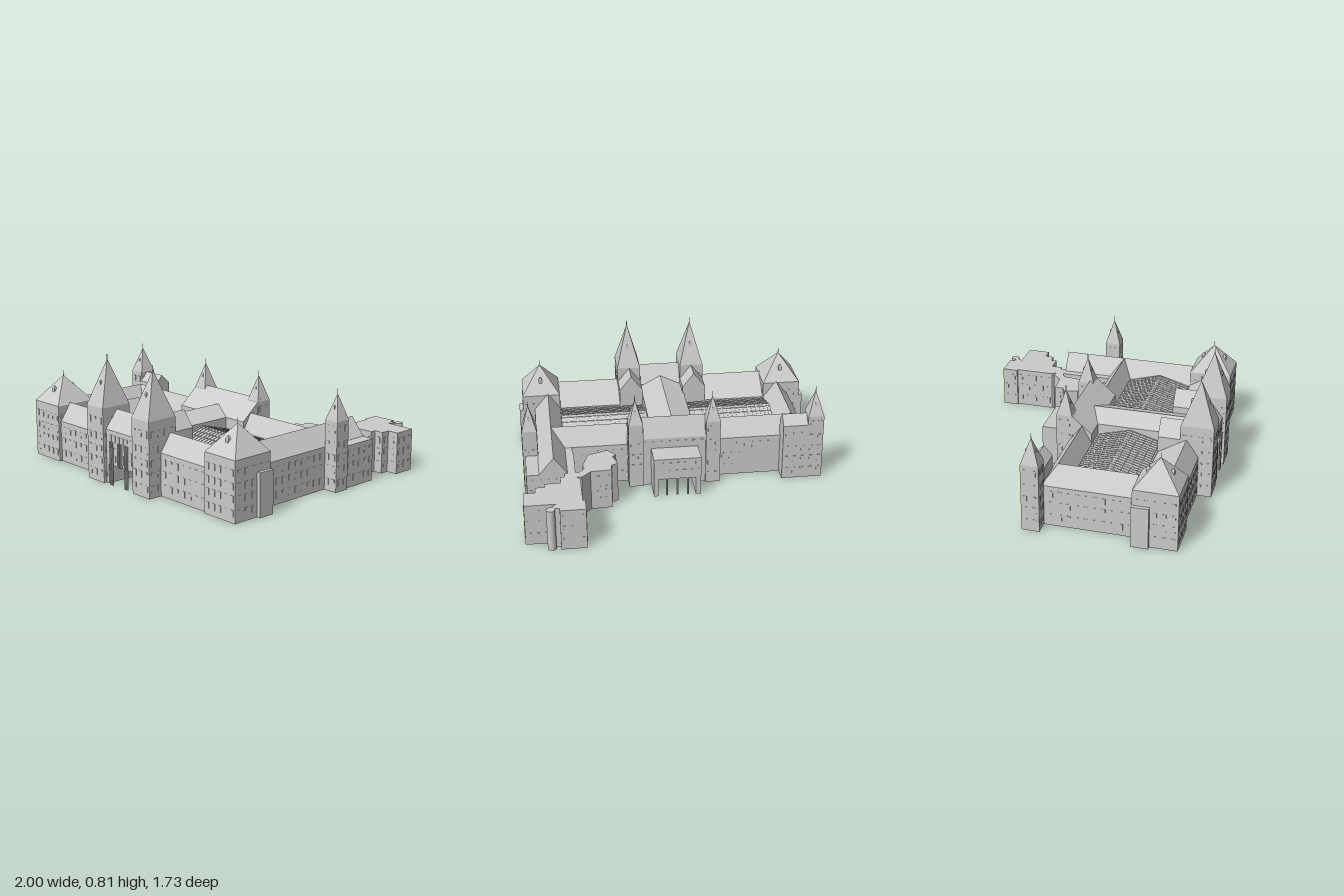
import * as THREE from 'three';
import { mergeGeometries } from 'three/addons/utils/BufferGeometryUtils.js';

const mat = new THREE.MeshStandardMaterial({ color: 0xcccccc, flatShading: true });
const roofMat = new THREE.MeshStandardMaterial({ color: 0xcccccc, flatShading: true, side: THREE.DoubleSide });

export function createModel() {
  const group = new THREE.Group();

  const add = (name, geo, m = mat) => {
    const mesh = new THREE.Mesh(geo, m);
    mesh.name = name;
    group.add(mesh);
    return mesh;
  };
  const boxGeo = (x0, x1, y0, y1, z0, z1) =>
    new THREE.BoxGeometry(x1 - x0, y1 - y0, z1 - z0).translate((x0 + x1) / 2, (y0 + y1) / 2, (z0 + z1) / 2);
  const block = (name, x0, x1, z0, z1, h, y0 = 0) => add(name, boxGeo(x0, x1, y0, h, z0, z1));

  // Roof over a rectangle, rising to a ridge from a to b (each [x, z]); a = b makes a pyramid
  const roof = (name, x0, x1, z0, z1, eave, top, a, b = a) => {
    const c = [[x0, z0], [x1, z0], [x1, z1], [x0, z1]].map(([x, z]) => [x, eave, z]);
    const A = [a[0], top, a[1]], B = [b[0], top, b[1]];
    const alongX = a[0] !== b[0];
    const faces = alongX
      ? [[c[3], c[2], B], [c[3], B, A], [c[1], c[0], A], [c[1], A, B], [c[0], c[3], A], [c[2], c[1], B]]
      : [[c[0], c[3], B], [c[2], c[1], A], [c[3], c[2], B], [c[1], c[0], A]];
    if (!alongX && a[1] !== b[1]) faces.push([c[0], B, A], [c[2], A, B]);
    const geo = new THREE.BufferGeometry();
    geo.setAttribute('position', new THREE.Float32BufferAttribute(faces.flat(2), 3));
    geo.computeVertexNormals();
    return add(name, geo, roofMat);
  };

  // Rows of thin window panels along a wall line
  const panes = [];
  const windows = (x0, z0, x1, z1, rows = [0.06, 0.145, 0.22], step = 0.055) => {
    const len = Math.hypot(x1 - x0, z1 - z0), n = Math.max(1, Math.round(len / step));
    const angle = -Math.atan2(z1 - z0, x1 - x0);
    for (let i = 0; i < n; i++) {
      const t = (i + 0.5) / n;
      for (const y of rows) {
        panes.push(new THREE.BoxGeometry(0.022, 0.042, 0.005).rotateY(angle)
          .translate(x0 + (x1 - x0) * t, y, z0 + (z1 - z0) * t));
      }
    }
  };

  // Square tower with spire, finial and small dormers
  const tower = (name, x0, x1, z0, z1, eave, top, dormerY, dormerSize) => {
    const cx = (x0 + x1) / 2, cz = (z0 + z1) / 2;
    block(name, x0, x1, z0, z1, eave);
    roof(name + 'Roof', x0, x1, z0, z1, eave, top, [cx, cz]);
    add(name + 'Finial', new THREE.CylinderGeometry(0.002, 0.003, 0.05, 6).translate(cx, top + 0.005, cz));
    const k = (top - dormerY) / (top - eave), s = dormerSize;
    for (const side of [-1, 1]) {
      const z = cz + side * k * (z1 - z0) / 2;
      add(name + 'Dormer', boxGeo(cx - s / 2, cx + s / 2, dormerY - s, dormerY + s / 2, z - s / 2, z + s / 2));
      roof(name + 'DormerRoof', cx - s / 2, cx + s / 2, z - s / 2, z + s / 2, dormerY + s / 2, dormerY + s * 1.4, [cx, z]);
    }
    const rows = [0.06, 0.145, 0.22, 0.3];
    if (eave > 0.4) rows.push(0.4);
    for (const z of [z0, z1]) windows(x0, z, x1, z, rows);
    for (const x of [x0, x1]) windows(x, z0, x, z1, rows);
  };

  // Block pierced from front to back by the passage
  const passageBlock = (name, x0, x1, z0, z1, h) => {
    const shape = new THREE.Shape([[x0, 0], [-0.12, 0], [-0.12, 0.125], [0.125, 0.125], [0.125, 0], [x1, 0], [x1, h], [x0, h]]
      .map(p => new THREE.Vector2(...p)));
    add(name, new THREE.ExtrudeGeometry(shape, { depth: z1 - z0, bevelEnabled: false }).translate(0, 0, z0));
  };

  // Central wing with its roofs
  passageBlock('centralWing', -0.15, 0.14, -0.155, 0.65, 0.34);
  passageBlock('entranceBlock', -0.15, 0.14, 0.65, 0.835, 0.35);
  roof('centralRoof', -0.15, 0.14, 0, 0.72, 0.34, 0.395, [-0.005, 0], [-0.005, 0.72]);
  roof('entranceRoof', -0.15, 0.14, 0.65, 0.835, 0.35, 0.465, [-0.15, 0.745], [0.14, 0.745]);
  windows(-0.12, 0.835, 0.12, 0.835, [0.17, 0.22, 0.3], 0.04);

  // Entrance columns and the strips between the tall windows
  for (const x of [-0.08, 0.065]) {
    for (const d of [-0.009, 0.009]) {
      add('entranceColumn', new THREE.CylinderGeometry(0.007, 0.007, 0.28, 8).translate(x + d, 0.14, 0.845));
    }
  }
  for (const x of [-0.012, 0.012]) add('entranceMullion', boxGeo(x - 0.005, x + 0.005, 0.125, 0.28, 0.835, 0.85));
  for (const s of [-1, 1]) {
    add('entranceBrace', new THREE.TorusGeometry(0.04, 0.004, 5, 8, Math.PI / 2)
      .rotateZ(s > 0 ? 0 : Math.PI / 2).translate(s * 0.08, 0.08, 0.825));
  }

  // Rear centre and porch
  block('rearCentreRight', -0.3, -0.15, -0.155, 0.065, 0.34);
  block('rearCentreLeft', 0.14, 0.3, -0.155, 0.065, 0.34);
  roof('rearCentreRoof', -0.3, 0.3, -0.155, 0.065, 0.34, 0.47, [-0.3, -0.09], [0.3, -0.09]);
  passageBlock('rearPorch', -0.155, 0.155, -0.315, -0.155, 0.27);
  for (const x of [-0.07, 0, 0.07]) {
    add('porchColumn', new THREE.CylinderGeometry(0.007, 0.007, 0.13, 8).translate(x, 0.065, -0.305));
  }
  windows(-0.15, -0.315, 0.15, -0.315, [0.17, 0.225], 0.045);
  windows(-0.21, -0.155, 0.21, -0.155, [0.3], 0.05);

  // Front range, pavilions, towers, courts: repeated on both sides
  for (const s of [-1, 1]) {
    const span = (a, b) => (s > 0 ? [a, b] : [-b, -a]);
    block('frontWing', ...span(0.14, 0.72), 0.5, 0.765, 0.275);
    roof('frontWingRoof', ...span(0.22, 0.8), 0.5, 0.765, 0.275, 0.39, [span(0.22, 0.8)[0], 0.685], [span(0.22, 0.8)[1], 0.685]);
    windows(s * 0.31, 0.765, s * 0.71, 0.765);

    block('rearWing', ...span(0.14, 0.81), -0.085, 0.065, 0.275);
    windows(s * 0.31, -0.085, s * 0.67, -0.085);
    block('sideWing', ...span(0.72, 0.895), -0.085, 0.5, 0.275);
    windows(s * 0.895, -0.05, s * 0.895, 0.5);

    tower('cornerPavilion', ...span(0.718, 0.975), 0.5, 0.785, 0.378, 0.55, 0.46, 0.022);
    block('pavilionBay', ...span(0.97, 1.0), 0.5, 0.61, 0.275);
    tower('frontTower', ...span(0.142, 0.303), 0.645, 0.858, 0.485, 0.775, 0.63, 0.014);
    tower('rearTower', ...span(0.207, 0.303), -0.17, -0.065, 0.45, 0.615, 0.53, 0.012);

    // Gabled house behind each front tower
    block('stairHouse', ...span(0.142, 0.3), 0.5, 0.65, 0.385);
    roof('stairHouseRoof', ...span(0.142, 0.3), 0.5, 0.65, 0.385, 0.485, [s * 0.22, 0.5], [s * 0.22, 0.65]);

    // Glazed court roof, open beneath, with ribs
    const [c0, c1] = span(0.14, 0.72);
    roof('courtRoof', c0, c1, 0.065, 0.5, 0.265, 0.325, [c0, 0.283], [c1, 0.283]);
    const slope = Math.atan2(0.06, 0.217), ribs = [];
    for (let i = 0; i < 20; i++) {
      const x = s * (0.16 + i * 0.0285), w = i % 5 === 4 ? 0.007 : 0.003;
      for (const f of [-1, 1]) {
        ribs.push(new THREE.BoxGeometry(w, 0.004, 0.22).rotateX(f * slope).translate(x, 0.296, 0.283 + f * 0.109));
      }
    }
    for (let i = 0; i < 5; i++) {
      for (const f of [-1, 1]) {
        const z = 0.02 + i * 0.045;
        ribs.push(new THREE.BoxGeometry(0.57, 0.004, 0.003).translate(s * 0.43, 0.326 - z * 0.276, 0.283 + f * z));
      }
    }
    add('courtRoofRibs', mergeGeometries(ribs));
  }

  // Rear and side roofs
  roof('rearWingRoof', -0.9, 0.895, -0.085, 0.065, 0.275, 0.39, [-0.81, 0], [0.8, 0]);
  roof('rightWingRoof', -0.9, -0.72, -0.085, 0.5, 0.275, 0.39, [-0.81, 0], [-0.81, 0.5]);
  roof('leftWingRoof', 0.715, 0.895, -0.42, 0.5, 0.275, 0.39, [0.8, -0.42], [0.8, 0.5]);

  // Long left rear range and its tower
  block('leftRearRange', 0.665, 0.975, -0.42, -0.165, 0.275);
  block('leftRearLink', 0.67, 0.895, -0.17, -0.08, 0.275);
  windows(0.975, -0.42, 0.975, -0.17);
  windows(0.665, -0.42, 0.665, -0.09);
  windows(0.77, -0.42, 0.97, -0.42);
  tower('leftRearTower', 0.893, 0.99, -0.165, -0.06, 0.45, 0.615, 0.53, 0.012);

  // Right rear house and its tower
  block('rightRearHouse', -0.885, -0.72, -0.185, -0.065, 0.39);
  roof('rightRearHouseRoof', -0.885, -0.72, -0.185, -0.065, 0.39, 0.45, [-0.885, -0.12], [-0.72, -0.12]);
  windows(-0.88, -0.185, -0.72, -0.185, [0.06, 0.145, 0.22, 0.32]);
  tower('rightRearTower', -0.99, -0.885, -0.185, -0.07, 0.45, 0.615, 0.53, 0.012);

  // Flat-roofed annexes from footprints of [x, z]
  const annex = (name, pts, glazed = true) => {
    const shape = new THREE.Shape(pts.map(([x, z]) => new THREE.Vector2(x, -z)));
    add(name, new THREE.ExtrudeGeometry(shape, { depth: 0.275, bevelEnabled: false }).rotateX(-Math.PI / 2));
    if (glazed) pts.forEach((p, i) => {
      const q = pts[(i + 1) % pts.length];
      if (Math.hypot(p[0] - q[0], p[1] - q[1]) > 0.055) windows(...p, ...q);
    });
  };
  annex('largeAnnex', [[0.625, -0.865], [0.785, -0.865], [0.785, -0.785], [1, -0.785], [1, -0.635], [0.925, -0.635],
    [0.925, -0.575], [0.865, -0.575], [0.865, -0.535], [0.765, -0.535], [0.765, -0.46], [0.735, -0.46], [0.735, -0.415],
    [0.665, -0.415], [0.665, -0.47], [0.64, -0.5], [0.64, -0.76], [0.625, -0.76]]);
  annex('smallAnnex', [[0.435, -0.41], [0.6, -0.42], [0.615, -0.33], [0.575, -0.2], [0.445, -0.15], [0.39, -0.215],
    [0.415, -0.24], [0.39, -0.33], [0.43, -0.35]]);
  annex('annexLink', [[0.57, -0.42], [0.63, -0.48], [0.67, -0.47], [0.67, -0.42], [0.635, -0.41], [0.605, -0.37]], false);
  add('annexTurret', new THREE.CylinderGeometry(0.027, 0.027, 0.275, 16).translate(0.84, 0.1375, -0.845));
  annex('turretLink', [[0.78, -0.835], [0.83, -0.83], [0.82, -0.8], [0.8, -0.78], [0.78, -0.78]], false);

  add('windows', mergeGeometries(panes));
  return group;
}
